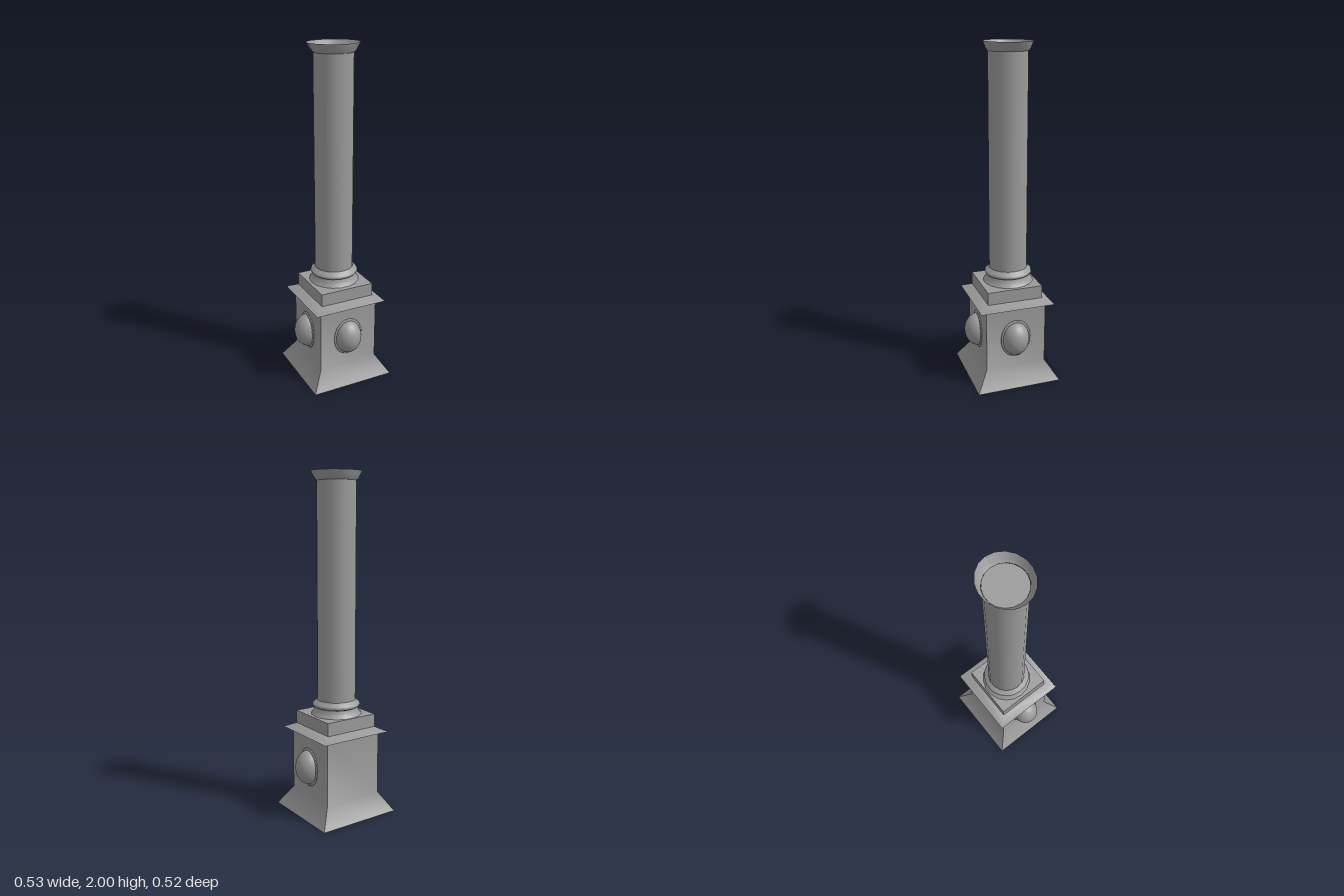
import * as THREE from 'three';
import { toCreasedNormals } from 'three/addons/utils/BufferGeometryUtils.js';

const material = new THREE.MeshStandardMaterial({ color: 0x9b9b9b, side: THREE.DoubleSide });

function addMesh(parent, name, geometry) {
  const mesh = new THREE.Mesh(geometry, material);
  mesh.name = name;
  parent.add(mesh);
  return mesh;
}

const toPoints = (list) => list.map(([r, y]) => new THREE.Vector2(r, y));

// Square section swept through [half width, height] pairs; gentle bends are smooth
function squareTower(profile) {
  const points = toPoints(profile.map(([h, y]) => [h * Math.SQRT2, y]));
  return toCreasedNormals(new THREE.LatheGeometry(points, 4, Math.PI / 4), 0.7);
}

// Round section with eighteen sides, smooth shaded
const turned = (profile) => new THREE.LatheGeometry(toPoints(profile), 18, Math.PI / 2);

// Oval dome in a low raised ring, facing +z
function boss(name) {
  const group = new THREE.Group();
  group.name = name;
  const dome = new THREE.SphereGeometry(1, 24, 10, 0, Math.PI * 2, 0, Math.PI / 2);
  dome.rotateX(Math.PI / 2).scale(0.082, 0.104, 0.084);
  addMesh(group, 'dome', dome);
  const ring = new THREE.TorusGeometry(0.082, 0.011, 8, 28);
  ring.scale(1, 1.26, 0.5).translate(0, 0, 0.005);
  addMesh(group, 'domeRing', ring);
  return group;
}

export function createModel() {
  const model = new THREE.Group();
  model.name = 'columnOnPedestal';

  // Pedestal: flared foot (open below), square body, sharp cornice and plinth
  const pedestal = new THREE.Group();
  pedestal.name = 'pedestal';
  pedestal.position.z = -0.008;
  model.add(pedestal);
  addMesh(pedestal, 'pedestalBody', squareTower([[0.256, 0], [0.183, 0.116], [0.183, 0.48]]));
  addMesh(pedestal, 'cornice', squareTower([[0.183, 0.48], [0.225, 0.497], [0.167, 0.525]]));
  addMesh(pedestal, 'plinth', squareTower([[0.167, 0.525], [0.167, 0.602], [0, 0.602]]));

  // Bosses on the front and both sides; the back is plain
  const sides = [
    ['frontBoss', 0, -0.003, 0.179],
    ['leftBoss', Math.PI / 2, 0.183, 0.004],
    ['rightBoss', -Math.PI / 2, -0.183, 0.004],
  ];
  for (const [name, angle, x, z] of sides) {
    const b = boss(name);
    b.rotation.y = angle;
    b.position.set(x, 0.296, z);
    pedestal.add(b);
  }

  // Round column, set slightly back
  const column = new THREE.Group();
  column.name = 'column';
  column.position.z = -0.019;
  model.add(column);
  addMesh(column, 'columnFoot', turned([[0.15, 0.602], [0.139, 0.615], [0.13, 0.63], [0.126, 0.646]]));
  addMesh(column, 'columnCollar', turned([
    [0.126, 0.646], [0.138, 0.652], [0.142, 0.661], [0.138, 0.67], [0.125, 0.678], [0.114, 0.69],
  ]));
  addMesh(column, 'shaft', turned([[0.113, 0.685], [0.113, 1.948]]));

  // Flared rim, round below and slightly oval at the lip
  const rim = turned([[0.114, 1.948], [0.127, 1.962], [0.151, 2]]);
  const p = rim.attributes.position;
  for (let i = 0; i < p.count; i++) {
    p.setZ(i, p.getZ(i) * (1.01 - 0.09 * (p.getY(i) - 1.948) / 0.052));
  }
  rim.computeVertexNormals();
  addMesh(column, 'flaredRim', rim);

  // Sunken flat top inside the rim
  const cap = new THREE.CircleGeometry(0.114, 18);
  cap.rotateX(-Math.PI / 2).translate(0, 1.948, 0);
  addMesh(column, 'sunkenTop', cap);

  return model;
}
